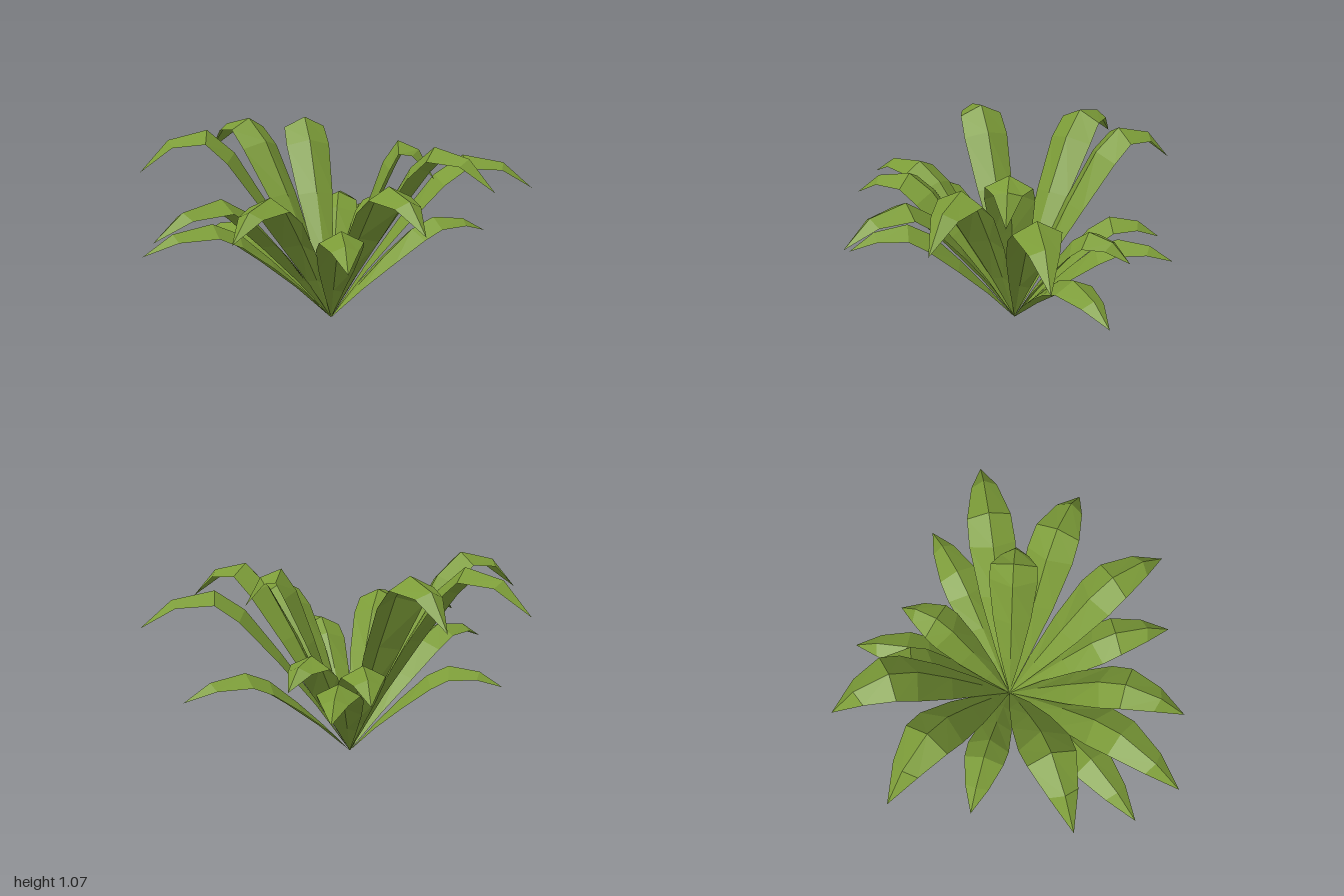
import * as THREE from 'three';

// Arching leaf: fraction of reach, fraction of peak height, half width and edge drop factors
const PROFILE = [
  [0, 0, 0, 0], [0.17, 0.325, 0.44, 0.12], [0.34, 0.62, 0.79, 0.3], [0.51, 0.885, 0.98, 0.47],
  [0.65, 1, 0.92, 0.47], [0.85, 0.955, 0.55, 0.29], [1, 0.8, 0, 0],
];
const ROOT = new THREE.Vector3(-0.07, 0, -0.04);

// Each leaf: tip x, tip z, peak height
const LEAVES = [
  [-0.50, -0.88, 1.06], [-0.17, -0.83, 0.62], [0.01, -0.90, 0.54], [0.22, -0.66, 0.64],
  [0.74, -0.55, 0.53], [1.00, -0.28, 0.92], [0.49, -0.04, 1.01], [0.82, 0.28, 1.01],
  [0.54, 0.75, 0.86], [0.20, 0.82, 0.64], [-0.32, 0.89, 0.80], [-0.71, 0.87, 0.78],
  [-0.86, 0.67, 0.62], [-1.00, 0.34, 1.07], [-0.87, -0.18, 0.51], [-0.93, -0.55, 1.07],
];

// Folded blade made of left edge, midrib and right edge points at each row
function leafGeometry(tipX, tipZ, peak) {
  const out = new THREE.Vector3(tipX - ROOT.x, 0, tipZ - ROOT.z);
  const reach = out.length();
  out.normalize();
  const side = new THREE.Vector3(out.z, 0, -out.x);
  const halfWidth = 0.1 + 0.03 * peak;
  const mids = PROFILE.map(([t, h]) =>
    ROOT.clone().addScaledVector(out, t * reach).setY(h * peak));

  const positions = [];
  const indices = [];
  PROFILE.forEach(([, , w, drop], i) => {
    const tangent = mids[Math.min(i + 1, mids.length - 1)].clone()
      .sub(mids[Math.max(i - 1, 0)]).normalize();
    const normal = new THREE.Vector3().crossVectors(tangent, side).normalize();
    for (const s of [-1, 0, 1]) {
      const p = mids[i].clone().addScaledVector(side, s * w * halfWidth)
        .addScaledVector(normal, -Math.abs(s) * drop * halfWidth);
      positions.push(p.x, p.y, p.z);
    }
  });
  const last = PROFILE.length - 2;
  for (let i = 0; i <= last; i++) {
    for (let j = 0; j < 2; j++) {
      const a = i * 3 + j, b = a + 1, c = a + 3, d = a + 4;
      // Rows narrow to a point at the root and the tip
      if (i === 0) indices.push(a, d, c);
      else if (i === last) indices.push(a, b, c);
      else indices.push(a, b, d, a, d, c);
    }
  }
  const indexed = new THREE.BufferGeometry();
  indexed.setAttribute('position', new THREE.Float32BufferAttribute(positions, 3));
  indexed.setIndex(indices);
  const geometry = indexed.toNonIndexed();
  geometry.computeVertexNormals();
  return geometry;
}

export function createModel() {
  const plant = new THREE.Group();
  plant.name = 'plant';
  const leafGreen = new THREE.MeshStandardMaterial({
    color: 0x7c9c38, flatShading: true, side: THREE.DoubleSide,
  });
  leafGreen.name = 'leaf green';
  LEAVES.forEach((spec, i) => {
    const leaf = new THREE.Mesh(leafGeometry(...spec), leafGreen);
    leaf.name = `leaf${i + 1}`;
    plant.add(leaf);
  });
  return plant;
}
